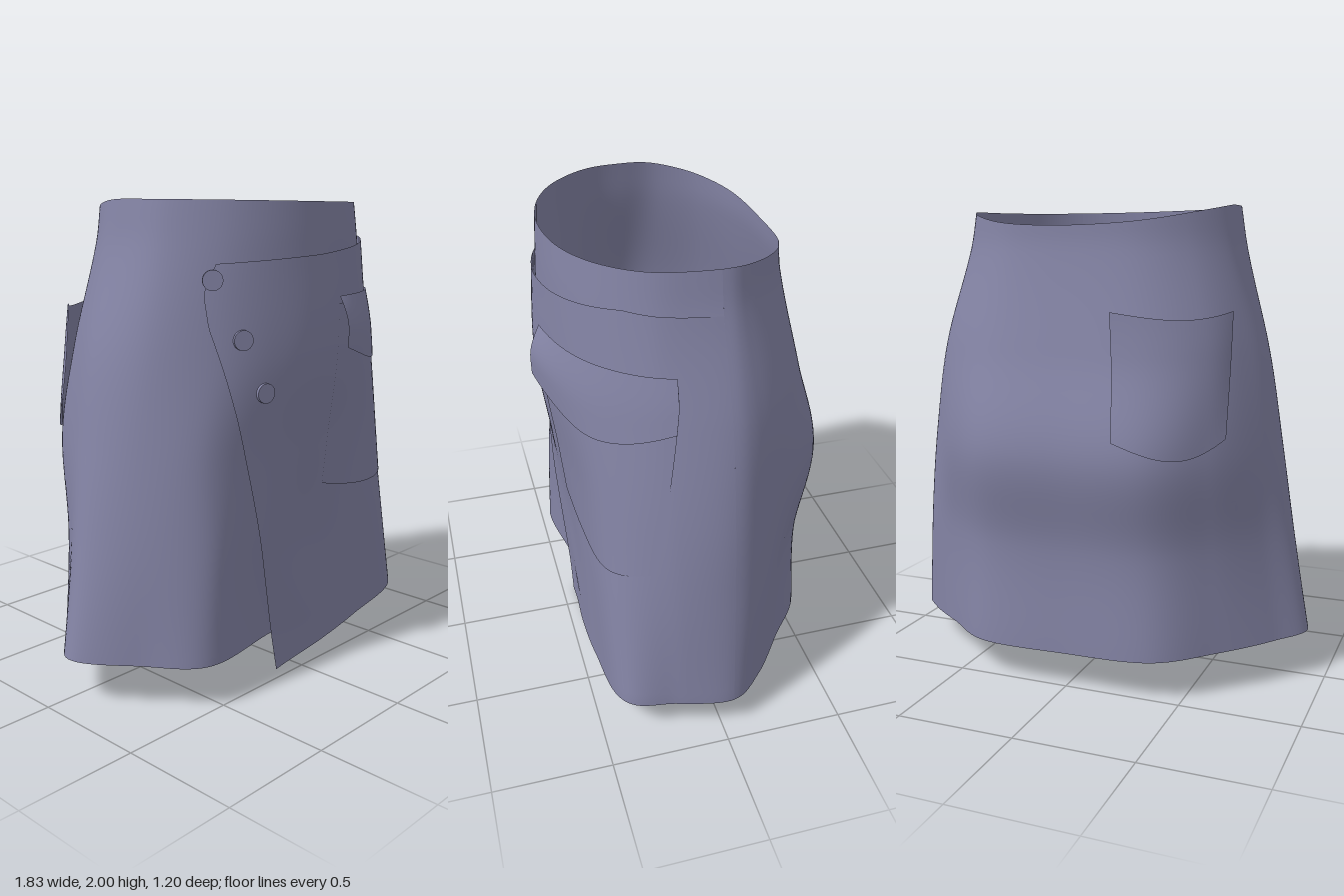
import * as THREE from 'three';

const cloth = new THREE.MeshStandardMaterial({ color: 0x8484a5, side: THREE.DoubleSide });
cloth.name = 'slate cloth';

// Plan outlines (x, z), 16 points each: left seam, front, right side, back
const waist = [.605, -.04, .575, .2, .45, .38, .26, .49, .02, .525, -.2, .49, -.39, .39, -.53, .22,
  -.56, .03, -.54, -.12, -.43, -.275, -.25, -.375, .02, -.4, .28, -.38, .45, -.285, .57, -.15];
const hips = [.765, -.05, .7, .2, .54, .39, .32, .495, .02, .55, -.23, .51, -.46, .41, -.65, .23,
  -.71, .02, -.66, -.16, -.54, -.34, -.32, -.47, .02, -.5, .34, -.48, .56, -.36, .71, -.2];
const seat = [.84, -.05, .77, .21, .61, .39, .35, .46, .02, .5, -.27, .475, -.53, .42, -.71, .24,
  -.78, .03, -.72, -.17, -.58, -.4, -.36, -.575, 0, -.6, .34, -.58, .57, -.43, .75, -.23];
const thigh = [.88, -.05, .82, .21, .68, .4, .38, .45, .05, .455, -.28, .465, -.54, .46, -.74, .27,
  -.845, .04, -.75, -.15, -.59, -.35, -.36, -.51, 0, -.535, .36, -.51, .6, -.36, .79, -.22];
const hem = [.915, -.05, .86, .19, .785, .395, .45, .44, .18, .445, -.12, .435, -.55, .485, -.76, .28,
  -.925, .05, -.81, -.13, -.62, -.33, -.38, -.52, 0, -.54, .38, -.52, .62, -.35, .81, -.2];
const yoke = waist.map((v, i) => v * (i % 2 ? 1.02 : 1.055));
const levels = [[.15, hem], [.6, thigh], [1, seat], [1.4, hips], [1.82, yoke], [2, waist]];

const clamp = THREE.MathUtils.clamp;
const lerp = THREE.MathUtils.lerp;

// Piecewise linear lookup through [key, value] pairs
function table(pairs, k) {
  for (let i = 1; i < pairs.length; i++) {
    const [a, va] = pairs[i - 1], [b, vb] = pairs[i];
    if (k <= b) return lerp(va, vb, clamp((k - a) / (b - a), 0, 1));
  }
  return pairs[pairs.length - 1][1];
}

function hermite(p0, p1, m0, m1, t) {
  const t2 = t * t, t3 = t2 * t;
  return (2 * t3 - 3 * t2 + 1) * p0 + (t3 - 2 * t2 + t) * m0 + (3 * t2 - 2 * t3) * p1 + (t3 - t2) * m1;
}

// One coordinate of an outline at perimeter position u (0..16)
function around(loop, u, axis) {
  const i = Math.floor(u), p = k => loop[(((i + k) % 16 + 16) % 16) * 2 + axis];
  return hermite(p(0), p(1), (p(1) - p(-1)) / 2, (p(2) - p(0)) / 2, u - i);
}

// One coordinate of the garment surface
function coord(u, y, axis) {
  const yy = clamp(y, .15, 2);
  let i = 0;
  while (i < levels.length - 2 && yy > levels[i + 1][0]) i++;
  const val = k => around(levels[k][1], u, axis);
  const slope = k => {
    const a = Math.max(0, k - 1), b = Math.min(levels.length - 1, k + 1);
    return (val(b) - val(a)) / (levels[b][0] - levels[a][0]);
  };
  const h = levels[i + 1][0] - levels[i][0];
  return hermite(val(i), val(i + 1), slope(i) * h, slope(i + 1) * h, (yy - levels[i][0]) / h);
}

// Surface point pushed outward by off
function surface(u, y, off = 0) {
  const dx = coord(u + .05, y, 0) - coord(u - .05, y, 0);
  const dz = coord(u + .05, y, 1) - coord(u - .05, y, 1);
  const n = new THREE.Vector3(dz, 0, -dx).normalize();
  return n.multiplyScalar(off).add(new THREE.Vector3(coord(u, y, 0), y, coord(u, y, 1)));
}

// Perimeter position on the front for a given x
function frontU(x, y) {
  let a = 0, b = 8;
  for (let i = 0; i < 24; i++) {
    const m = (a + b) / 2;
    if (coord(m, y, 0) > x) a = m; else b = m;
  }
  return (a + b) / 2;
}

// Cloth panel; rule(s, t) gives [u, y, offset]
function panel(name, cols, rows, rule) {
  const pos = [], idx = [];
  for (let j = 0; j <= rows; j++) {
    for (let i = 0; i <= cols; i++) {
      const [u, y, off] = rule(i / cols, j / rows);
      pos.push(...surface(u, y, off).toArray());
      if (i < cols && j < rows) {
        const a = j * (cols + 1) + i, c = a + cols + 1;
        idx.push(a, c, a + 1, a + 1, c, c + 1);
      }
    }
  }
  const g = new THREE.BufferGeometry();
  g.setAttribute('position', new THREE.Float32BufferAttribute(pos, 3));
  g.setIndex(idx);
  g.computeVertexNormals();
  const mesh = new THREE.Mesh(g, cloth);
  mesh.name = name;
  return mesh;
}

export function createModel() {
  const group = new THREE.Group();
  group.name = 'wrapSkirt';

  const waistTop = u => {
    const back = u > 8 ? Math.sin((u - 8) / 8 * Math.PI) ** 2 : 0;
    return 1.99 - .01 * Math.cos(u / 8 * Math.PI) - .075 * back;
  };
  const underEdge = 2.7;

  // Main body: under panel with a deep fold, right side and back
  group.add(panel('skirtBody', 150, 48, (s, t) => {
    const u = lerp(underEdge, 16, s);
    const bottom = table([[underEdge, .15], [5, .175], [8, .19], [12, .16], [16, .135]], u);
    const y = lerp(bottom, waistTop(u), t);
    const fold = Math.exp(-(((u - 3.9) / .5) ** 2)) * clamp(1 - (y - .15) / .9, 0, 1) ** 1.5;
    return [u, y, -.11 * fold - .004 * clamp((16 - u) * 2, 0, 1)];
  }));

  // Waistband over the left front
  group.add(panel('frontWaistband', 30, 6, (s, t) => {
    const u = s * underEdge;
    return [u, lerp(1.77, waistTop(u), t), -.004 * clamp(u * 2, 0, 1)];
  }));

  // Overlapping front panel with slanted free edge
  const edge = [[0, -.11], [.6, -.25], [1.24, -.41], [1.52, -.47], [1.65, -.475], [1.76, -.43]];
  group.add(panel('frontWrapPanel', 64, 56, (s, t) => {
    const bottom = .135 * Math.min(1, (1 - s) / .6);
    const top = table([[0, 1.81], [.25, 1.84], [.65, 1.785], [1, 1.76]], s);
    const y = lerp(bottom, top, t);
    return [s * frontU(table(edge, y), y), y, .012 * Math.min(1, s * 6)];
  }));

  // Front patch pocket
  const pocketU = (s, y) => lerp(lerp(1.1, .75, clamp((y - .8) / .7, 0, 1)), frontU(.13, y), s);
  group.add(panel('frontPocket', 28, 24, (s, t) => {
    const arch = Math.sin(s * Math.PI);
    const y = lerp(.8 - .07 * arch, 1.58, t);
    return [pocketU(s, y), y, .016 + .012 * arch * Math.sin(t * Math.PI * .8)];
  }));

  // Front pocket flap, lifting away most at its inner lower corner
  group.add(panel('frontPocketFlap', 28, 10, (s, t) => {
    const y = lerp(1.4 - .09 * Math.sin(s * Math.PI), 1.61, t);
    const lift = Math.sin(Math.min(1, (1 - t) * 1.5) * Math.PI / 2);
    return [pocketU(s, y), y, .02 + lift * lerp(.008, .042, s * s)];
  }));

  // Back patch pocket, standing open at the top
  group.add(panel('backPocket', 24, 20, (s, t) => {
    const arch = Math.sin(s * Math.PI);
    const y = lerp(1.08 - .07 * arch, 1.58 - .03 * arch, t);
    return [lerp(lerp(9.7, 9.45, t), 11.35, s), y, .008 + .05 * t * t + .012 * arch * Math.sin(t * Math.PI)];
  }));

  // Buttons along the wrap edge
  for (const [x, y] of [[-.445, 1.7], [-.36, 1.47], [-.27, 1.255]]) {
    const u = frontU(x, y);
    const n = surface(u, y, 1).sub(surface(u, y, 0));
    const button = new THREE.Mesh(new THREE.CylinderGeometry(.04, .04, .014, 24), cloth);
    button.quaternion.setFromUnitVectors(new THREE.Vector3(0, 1, 0), n);
    button.position.copy(surface(u, y, .022));
    button.name = 'button';
    group.add(button);
  }
  return group;
}
